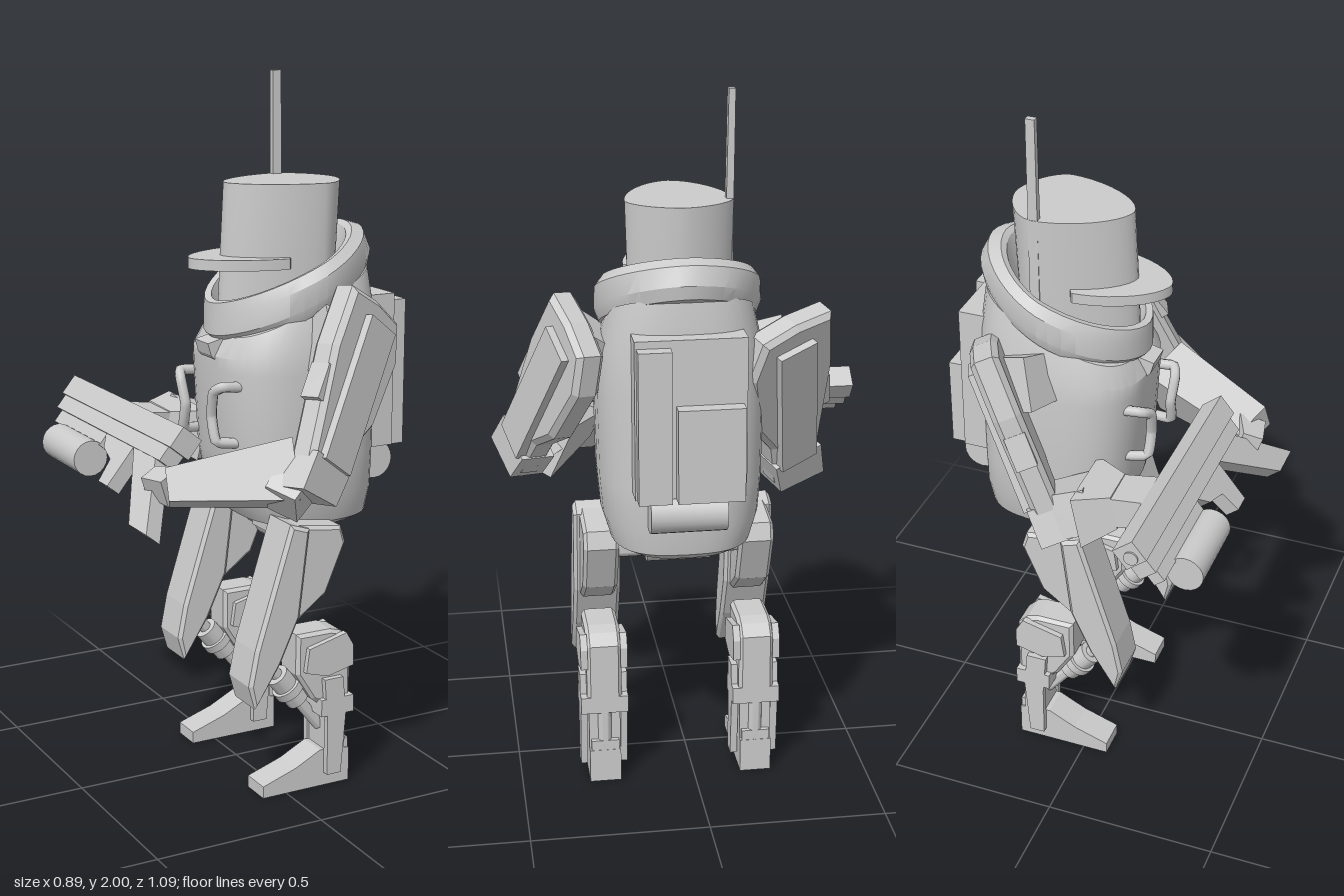
import * as THREE from 'three';
import { toCreasedNormals } from 'three/addons/utils/BufferGeometryUtils.js';

const MID = 0.04; // z of the robot's own centre plane; it walks toward -x
const mat = new THREE.MeshStandardMaterial({ color: 0xcccccc, side: THREE.DoubleSide });

function add(parent, name, geo) {
  const mesh = new THREE.Mesh(geo, mat);
  mesh.name = name;
  parent.add(mesh);
  return mesh;
}

function box(parent, name, x0, x1, y0, y1, z0, z1) {
  const m = add(parent, name, new THREE.BoxGeometry(x1 - x0, y1 - y0, z1 - z0));
  m.position.set((x0 + x1) / 2, (y0 + y1) / 2, (z0 + z1) / 2);
  return m;
}

// Side profile in x/y, given thickness around z
function plate(parent, name, pts, depth, z = 0, bevel = 0) {
  const shape = new THREE.Shape(pts.map(p => new THREE.Vector2(...p)));
  const geo = new THREE.ExtrudeGeometry(shape, {
    depth: depth - 2 * bevel, bevelEnabled: bevel > 0, bevelSize: bevel,
    bevelOffset: -bevel, bevelThickness: bevel, bevelSegments: 1
  });
  geo.translate(0, 0, z - depth / 2 + bevel);
  return add(parent, name, geo);
}

// Stands a mesh built along y between two points
function span(m, p, q) {
  m.position.copy(p).add(q).multiplyScalar(0.5);
  m.quaternion.setFromUnitVectors(new THREE.Vector3(0, 1, 0), q.clone().sub(p).normalize());
  return m;
}

// Tapered box running from a to b; sizes are [width, depth] at each end
function beam(parent, name, a, b, s0, s1) {
  const p = new THREE.Vector3(...a), q = new THREE.Vector3(...b);
  const geo = new THREE.BoxGeometry(1, p.distanceTo(q), 1);
  const pos = geo.attributes.position;
  for (let i = 0; i < pos.count; i++) {
    const s = pos.getY(i) < 0 ? s0 : s1;
    pos.setX(i, pos.getX(i) * s[0]);
    pos.setZ(i, pos.getZ(i) * s[1]);
  }
  geo.computeVertexNormals();
  return span(add(parent, name, geo), p, q);
}

function rod(parent, name, a, b, r) {
  const p = new THREE.Vector3(...a), q = new THREE.Vector3(...b);
  const geo = toCreasedNormals(new THREE.CylinderGeometry(r, r, p.distanceTo(q), 20), 0.7);
  return span(add(parent, name, geo), p, q);
}

// Egg-shaped ring: height, front x, back x, half width, optional tilt
function ring([y, xf, xb, w, tilt], { xc = 0.14, pow = 2, slope = 0 }) {
  const out = [];
  for (let j = 0; j < 40; j++) {
    const t = j / 40 * Math.PI * 2, c = Math.cos(t), s = Math.sin(t);
    const k = v => Math.sign(v) * Math.abs(v) ** (2 / pow);
    const x = xc + k(c) * (c > 0 ? xb - xc : xc - xf);
    out.push([x, y + (tilt ?? slope) * (x - xc), MID + k(s) * w]);
  }
  return out;
}

function loft(parent, name, rows, opt, capped = true) {
  const rings = rows.map(r => ring(r, opt));
  const n = 40, idx = [], o = (rings.length - 1) * n;
  for (let i = 0; i < o; i += n) for (let j = 0; j < n; j++) {
    const a = i + j, b = i + (j + 1) % n;
    idx.push(a, a + n, b, b, a + n, b + n);
  }
  if (capped) for (let j = 1; j < n - 1; j++) idx.push(0, j, j + 1, o, o + j + 1, o + j);
  const geo = new THREE.BufferGeometry();
  geo.setAttribute('position', new THREE.Float32BufferAttribute(rings.flat(2), 3));
  geo.setIndex(idx);
  return add(parent, name, toCreasedNormals(geo, 0.5));
}

// Upper arm: flat armour with a raised panel, hung along "down" with its rear edge toward "rear"
function upperArm(parent, name, center, down, rear, out) {
  const arm = new THREE.Group();
  arm.name = name;
  parent.add(arm);
  const y = new THREE.Vector3(...down).normalize().negate();
  const x = new THREE.Vector3(...rear);
  x.addScaledVector(y, -x.dot(y)).normalize();
  arm.quaternion.setFromRotationMatrix(new THREE.Matrix4().makeBasis(x, y, x.clone().cross(y)));
  arm.position.set(...center);
  plate(arm, 'armShell', [[-.13, .267], [-.01, .28], [.1, .27], [.15, .166], [.135, -.03], [.08, -.13],
    [.07, -.27], [-.07, -.28], [-.1, -.098], [-.133, .092]], .08, 0, .015);
  plate(arm, 'armPanel', [[-.055, .219], [.067, .219], [.067, -.2], [-.055, -.2]], .03, out * .047);
  plate(arm, 'elbowCuff', [[-.08, -.19], [.08, -.19], [.065, -.29], [-.09, -.303]], .1);
  box(arm, 'armBracket', -.125, -.085, -.06, .04, -.03, .03);
}

function makeLeg(parent, side) {
  const leg = new THREE.Group();
  leg.name = side > 0 ? 'leftLeg' : 'rightLeg';
  leg.position.z = MID + side * .22;
  parent.add(leg);
  plate(leg, 'thigh', [[.02, .79], [.17, .77], [.185, .72], [.125, .58], [.03, .51], [-.02, .6]], .1, 0, .01);
  plate(leg, 'thighGuard', [[0, .8], [.06, .78], [.03, .53], [-.03, .4], [-.11, .28], [-.13, .35], [-.11, .45]], .135, 0, .01);
  // knee, shin rails and ankle
  plate(leg, 'knee', [[.03, .47], [.14, .47], [.175, .46], [.205, .43], [.205, .24], [.12, .24], [.08, .27], [.03, .35]], .1, 0, .01);
  for (const s of [-1, 1]) {
    plate(leg, 'kneeEar', [[.06, .43], [.18, .46], [.203, .42], [.203, .36], [.12, .34], [.05, .36]], .02, s * .057);
    plate(leg, 'shinRail', [[.11, .33], [.17, .33], [.18, .22], [.165, .04], [.12, .04], [.12, .2]], .02, s * .058);
  }
  box(leg, 'kneeBracket', .1, .205, .22, .27, -.068, .068);
  box(leg, 'shin', .125, .19, .1, .3, -.045, .045);
  rod(leg, 'calfPiston', [.185, .08, 0], [.185, .3, 0], .02);
  // foot
  plate(leg, 'foot', [[-.075, 0], [.205, 0], [.205, .1], [.11, .11], [.03, .07], [-.075, .035]], .09);
  box(leg, 'heel', .13, .204, .01, .13, -.04, .04);
  // front piston
  rod(leg, 'kneePiston', [-.06, .41, 0], [.13, .17, 0], .018);
  rod(leg, 'pistonSleeve', [-.01, .345, 0], [.06, .26, 0], .035);
  rod(leg, 'pistonCollar', [.02, .31, 0], [.035, .29, 0], .045);
}

export function createModel() {
  const g = new THREE.Group();
  g.name = 'robot';

  // Torso, collar and head
  loft(g, 'torso', [[.745, .04, .33, .16], [.765, -.02, .355, .195], [.84, -.07, .365, .217], [.95, -.095, .365, .226],
    [1.2, -.11, .365, .23], [1.3, -.11, .365, .225, .25], [1.39, -.08, .35, .2, .45]], { pow: 2.8 });
  loft(g, 'collar', [[1.37, -.05, .32, .18], [1.375, -.08, .38, .215], [1.41, -.105, .385, .228], [1.47, -.105, .36, .226],
    [1.5, -.105, .32, .205], [1.495, -.085, .305, .185], [1.4, -.05, .27, .165]], { pow: 1.8, slope: .48 }, false);
  loft(g, 'hatCrown', [[1.28, -.078, .26, .13], [1.5, -.068, .275, .14], [1.71, -.056, .287, .146]], { xc: .18, pow: 1.7 });
  loft(g, 'hatBrim', [[1.48, -.165, .1, .14], [1.51, -.165, .1, .14]], { xc: .07, pow: 1.75 });
  plate(g, 'chin', [[-.06, 1.36], [-.07, 1.29], [-.13, 1.275], [-.12, 1.24], [-.08, 1.2], [0, 1.28]], .08, MID);
  beam(g, 'antenna', [.178, 1.4, -.09], [.178, 2, -.098], [.028, .022], [.026, .018]);

  // Chest pipes
  for (const s of [-1, 1]) {
    const path = new THREE.CatmullRomCurve3([[-.03, 1.16, .13], [-.13, 1.17, .13], [-.145, 1.15, .1], [-.14, 1.08, .08],
      [-.135, 1.01, .1], [-.04, 1, .12]].map(([x, y, z]) => new THREE.Vector3(x, y, MID + s * z)), false, 'catmullrom', .2);
    add(g, 'chestPipe', new THREE.TubeGeometry(path, 30, .015, 8));
  }

  // Backpack
  box(g, 'backpack', .28, .405, .95, 1.39, -.11, .19);
  box(g, 'packTall', .4, .445, .95, 1.37, .095, .185);
  box(g, 'packShort', .4, .447, .95, 1.21, -.1, .08);
  rod(g, 'packCylinder', [.375, .9, -.058], [.375, .9, .15], .055);

  // Hips and legs
  rod(g, 'hipAxle', [.13, .705, MID - .25], [.13, .705, MID + .25], .03);
  rod(g, 'hipDrum', [.13, .7, MID - .09], [.13, .7, MID + .09], .042);
  box(g, 'pelvis', .07, .2, .7, .77, MID - .07, MID + .07);
  for (const s of [-1, 1]) makeLeg(g, s);

  // Left arm
  upperArm(g, 'leftUpperArm', [.11, 1.165, .392], [-.5, -.82, .28], [.78, -.57, -.27], 1);
  beam(g, 'leftShoulder', [.15, 1.25, .22], [.18, 1.32, .33], [.13, .13], [.15, .15]);
  beam(g, 'leftElbow', [-.01, .99, .42], [-.11, .91, .46], [.13, .1], [.11, .09]);
  beam(g, 'leftForearm', [-.04, .975, .41], [-.35, .94, .27], [.17, .15], [.09, .12]);
  beam(g, 'leftHand', [-.33, .94, .27], [-.36, .94, .19], [.08, .08], [.06, .06]);

  // Right arm, turned inward so its armour faces the back
  upperArm(g, 'rightUpperArm', [.165, 1.135, -.265], [-.4, -.9, -.1], [.4, -.26, .88], -1);
  beam(g, 'rightShoulder', [.15, 1.25, -.12], [.2, 1.28, -.25], [.13, .13], [.15, .15]);
  beam(g, 'rightForearm', [.08, .92, -.3], [-.05, .96, -.26], [.13, .13], [.13, .17]);
  beam(g, 'rightCuff', [-.04, .96, -.26], [-.13, .98, -.255], [.15, .24], [.1, .13]);
  beam(g, 'rightHand', [-.12, .98, -.255], [-.25, 1, -.25], [.09, .13], [.08, .14]);

  // Rifle: built upright with its muzzle toward -z, then rolled
  const gun = new THREE.Group();
  gun.name = 'rifle';
  gun.position.set(-.27, 1.02, 0);
  gun.rotation.z = -.68;
  g.add(gun);
  box(gun, 'receiver', -.035, .035, -.015, .05, -.54, .2);
  box(gun, 'lowerReceiver', -.028, .028, -.06, -.01, -.53, .18);
  box(gun, 'underRail', -.018, .018, -.1, -.055, -.51, -.18);
  rod(gun, 'muzzle', [0, .01, -.5], [0, .01, -.545], .02);
  rod(gun, 'drum', [-.014, -.145, -.42], [-.014, -.145, -.185], .052);
  const turned = (name, pts, depth) => { // profile of z and height
    plate(gun, name, pts.map(([z, v]) => [-z, v]), depth).rotation.y = Math.PI / 2;
  };
  turned('stock', [[0, -.05], [.23, -.25], [.34, -.25], [.14, -.05]], .05);
  turned('grip', [[-.19, -.05], [-.14, -.1], [-.07, -.12], [-.055, -.19], [.005, -.19], [.005, -.05]], .045);
  return g;
}
